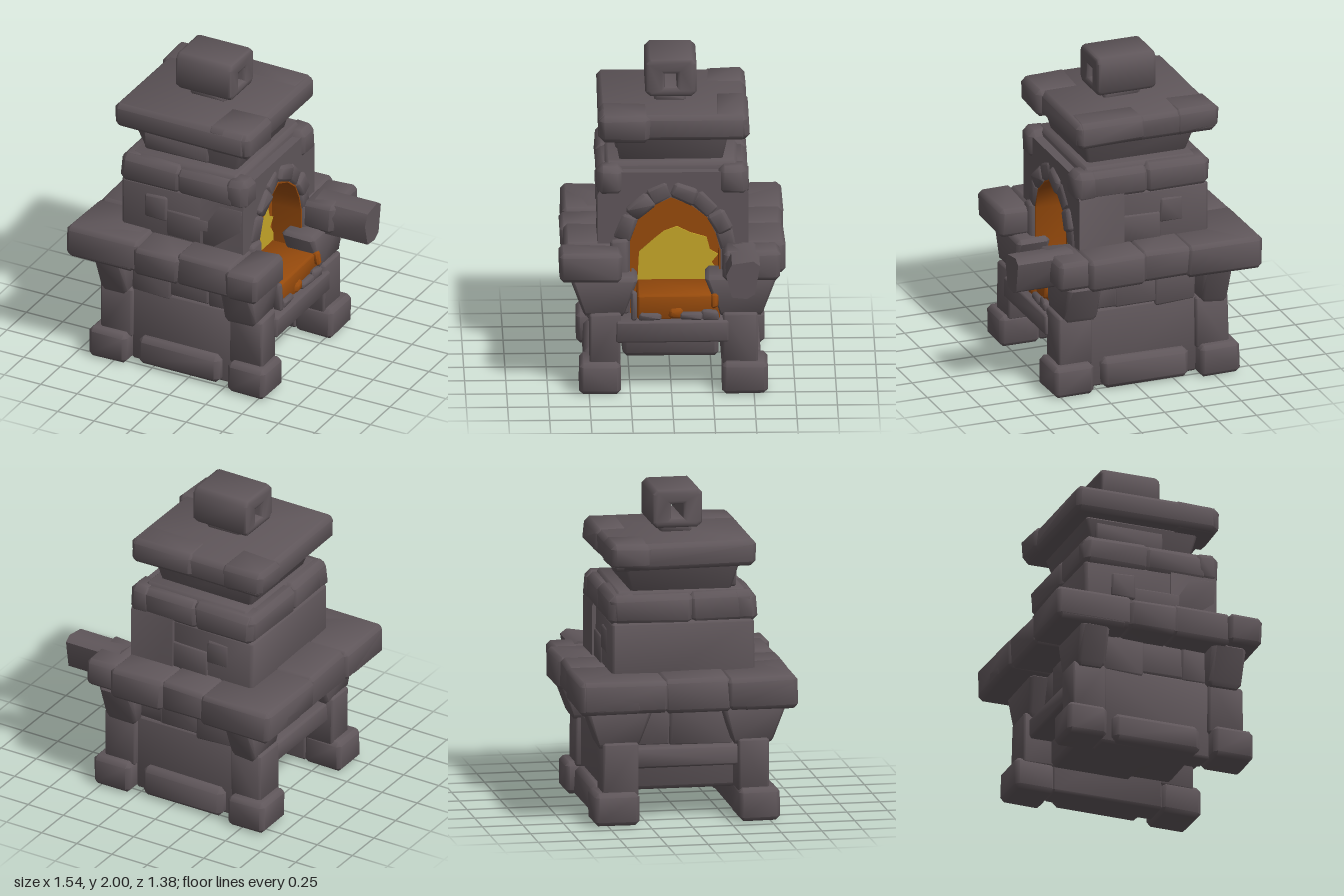
import * as THREE from 'three';
import { ConvexGeometry } from 'three/addons/geometries/ConvexGeometry.js';
import { toCreasedNormals } from 'three/addons/utils/BufferGeometryUtils.js';

const stoneMat = new THREE.MeshStandardMaterial({ color: 0x5f565a });
stoneMat.name = 'stone';
const emberMat = new THREE.MeshStandardMaterial({ color: 0x964a0c });
emberMat.name = 'ember orange';
const flameMat = new THREE.MeshStandardMaterial({ color: 0xc6a628 });
flameMat.name = 'flame yellow';

export function createModel() {
  const root = new THREE.Group();
  root.name = 'stoneFurnace';
  let seed = 11;
  const rand = () => (seed = (seed * 16807) % 2147483647) / 2147483647;

  function add(name, geo, mat = stoneMat) {
    const m = new THREE.Mesh(toCreasedNormals(geo, 0.9), mat);
    m.name = name;
    root.add(m);
    return m;
  }

  // Roughly chiselled block with softened edges; bottom is scaled by taper in x and z
  function stone(name, [x0, x1], [y0, y1], [z0, z1], o = {}) {
    const { c = 0.025, j = 0.013, taper = [1, 1], mat = stoneMat } = o;
    const h = [(x1 - x0) / 2, (y1 - y0) / 2, (z1 - z0) / 2];
    const pts = [];
    for (const sx of [-1, 1]) for (const sy of [-1, 1]) for (const sz of [-1, 1]) {
      const s = [sx, sy, sz];
      const [kx, kz] = sy < 0 ? taper : [1, 1];
      const jit = [0, 0, 0].map(() => rand() * j);
      for (let a = 0; a < 3; a++) {
        const p = s.map((v, i) => v * (h[i] - jit[i] - (i === a ? 0 : Math.min(c, h[i] * 0.45))));
        pts.push(new THREE.Vector3(p[0] * kx, p[1], p[2] * kz));
      }
    }
    const m = add(name, new ConvexGeometry(pts), mat);
    m.position.set((x0 + x1) / 2, (y0 + y1) / 2, (z0 + z1) / 2);
    return m;
  }

  // Outline in (-z, y), pushed along x from x0 to x1
  const outline = p => p.map(([u, y]) => new THREE.Vector2(u, y));
  function extrudeX(name, pts, hole, x0, x1, mat, bevel = 0) {
    const s = new THREE.Shape(outline(pts));
    if (hole) s.holes.push(new THREE.Path(outline(hole)));
    const g = new THREE.ExtrudeGeometry(s, {
      depth: x1 - x0 - 2 * bevel, bevelEnabled: bevel > 0, bevelSize: bevel,
      bevelThickness: bevel, bevelOffset: -bevel, bevelSegments: 2,
    });
    g.translate(0, 0, x0 + bevel).rotateY(Math.PI / 2);
    return add(name, g, mat);
  }

  // Feet, legs and flared corbels at the four corners
  for (const s of [1, -1]) {
    const side = (a, b) => (s > 0 ? [a, b] : [-b - 0.025, -a]);
    for (const [foot, leg, corbel] of [
      [[0.287, 0.55], [0.275, 0.505], [0.25, 0.49]],
      [[-0.665, -0.4], [-0.612, -0.39], [-0.605, -0.4]],
    ]) {
      stone('foot', foot, [0, 0.205], side(0.305, 0.562), { j: 0.006 });
      stone('leg', leg, [0.17, 0.51], side(0.305, 0.503), { c: 0.012, j: 0.008 });
      stone('corbel', corbel, [0.47, 0.74], side(0.2, 0.615), { taper: [0.92, 0.64] });
    }
    // Walls between the legs with a low bar in front
    stone('footBar', [-0.35, 0.225], [0.005, 0.203], side(0.31, 0.53), { c: 0.03 });
    stone('lowerWall', [-0.42, 0.3], [0.01, 0.52], side(0.31, 0.47), { c: 0.015, j: 0.006 });
    stone('lowerFacing', [-0.41, -0.13], [0.48, 0.74], side(0.36, 0.485), { c: 0.015 });
    stone('lowerFacing', [-0.16, 0.13], [0.5, 0.73], side(0.36, 0.475), { c: 0.015 });
    stone('lowerFacing', [0.1, 0.31], [0.5, 0.73], side(0.36, 0.47), { c: 0.015 });
  }

  // Lower body, undercroft and the slabs spanning the legs
  stone('lowerBody', [-0.44, 0.1], [0.17, 0.75], [-0.43, 0.42]);
  stone('undercroft', [0, 0.34], [0.17, 0.4], [-0.3, 0.3]);
  stone('hearthSlab', [0, 0.525], [0.325, 0.465], [-0.35, 0.34], { c: 0.01, j: 0.006 });
  stone('rearSlab', [-0.58, -0.3], [0.33, 0.47], [-0.4, 0.38], { c: 0.012 });
  stone('rearFacing', [-0.52, -0.3], [0.45, 0.74], [-0.1, 0.3], { c: 0.015 });
  stone('rearFacing', [-0.5, -0.3], [0.45, 0.74], [-0.36, -0.08], { c: 0.015 });

  // Projecting ledge made of tightly fitted stones
  const cuts = [-0.772, -0.31, -0.02, 0.33, 0.56];
  for (let i = 0; i < 4; i++) {
    const a = cuts[i], b = cuts[i + 1] + (i < 3 ? 0.04 : 0), d = (i % 2) * 0.012;
    const out = i === 3 ? 0.02 : 0;
    stone('frontLedge', [a, b], [0.708, 0.922 - d], [0.295, 0.657 + d + out]);
    stone('backLedge', [a, b], [0.708 + d, 0.922], [-0.698 + d + out, -0.305]);
  }
  for (const [a, b, x] of [[-0.69, -0.14, -0.772], [-0.18, 0.25, -0.76], [0.21, 0.65, -0.772]])
    stone('sideLedge', [x, -0.3], [0.708, 0.922], [a, b]);

  // Slanted beam end beside the opening
  extrudeX('sideBeam', [[0.36, 0.7], [0.45, 0.69], [0.5, 0.72], [0.53, 0.9], [0.49, 0.93], [0.36, 0.91], [0.325, 0.84]],
    null, 0.4, 0.77, stoneMat);

  // Upper body behind the fire chamber
  stone('upperBody', [-0.507, 0.1], [0.7, 1.24], [-0.455, 0.44], { c: 0.018 });
  stone('bandCore', [-0.46, 0.29], [1.2, 1.41], [-0.42, 0.41]);
  for (const s of [1, -1]) {
    const z = s > 0 ? [0.28, 0.455] : [-0.475, -0.28];
    const t = s > 0 ? [0.36, 0.452] : [-0.467, -0.36];
    stone('bandStone', [-0.512, -0.08], [1.2, 1.402], z, { c: 0.035 });
    stone('bandStone', [-0.13, 0.3], [1.2, 1.395], z, { c: 0.035 });
    stone('bandCorner', [0.2, 0.37], [1.2, 1.4], z, { c: 0.035 });
    stone('wallStone', [-0.34, -0.18], [1.0, 1.17], t, { c: 0.01 });
    stone('wallStone', [-0.2, 0.12], [0.9, 1.09], t, { c: 0.01 });
    stone('wallStone', [0.05, 0.345], [0.9, 1.22], t, { c: 0.01 });
  }
  stone('sideBand', [-0.52, -0.3], [1.2, 1.4], [-0.46, 0.06], { c: 0.035 });
  stone('sideBand', [-0.512, -0.3], [1.2, 1.4], [0.02, 0.44], { c: 0.035 });

  // Arched front wall of the fire chamber
  const arch = [[-0.25, 0.46], [0.3, 0.46], [0.3, 0.86], [0.27, 0.97], [0.22, 1.07],
    [0.12, 1.15], [0, 1.2], [-0.1, 1.15], [-0.2, 1.06], [-0.25, 0.92]];
  const inner = arch.map(([u, y]) => [0.025 + (u - 0.025) * 0.965, 0.8 + (y - 0.8) * 0.975]);
  extrudeX('archWall', [[-0.45, 0.44], [0.47, 0.44], [0.47, 1.22], [0.4, 1.36], [-0.38, 1.36], [-0.445, 1.22]],
    arch, 0.05, 0.345, stoneMat);
  extrudeX('chamberLining', arch, inner, 0.1, 0.35, emberMat);
  extrudeX('chamberBack', arch, null, 0.09, 0.15, emberMat);

  // Stones framing the arch
  for (let i = 2; i < arch.length - 1; i++) {
    const [u0, y0] = arch[i], [u1, y1] = arch[i + 1];
    const len = Math.hypot(u1 - u0, y1 - y0) / 2 + 0.02;
    const m = stone('archStone', [0.25, 0.365 + (i % 2) * 0.012], [-len, len], [-0.06, 0.06], { c: 0.018 });
    const dir = Math.atan2(y1 - y0, u1 - u0), n = dir - Math.PI / 2;
    m.position.y = (y0 + y1) / 2 + Math.sin(n) * 0.055;
    m.position.z = -((u0 + u1) / 2 + Math.cos(n) * 0.055);
    m.rotation.x = dir - Math.PI / 2;
  }
  stone('jamb', [0.2, 0.38], [0.45, 0.94], [0.25, 0.38], { c: 0.015 });
  stone('jamb', [0.2, 0.38], [0.45, 0.9], [-0.42, -0.3], { c: 0.015 });

  // Embers, flame and little stones on the hearth
  stone('emberBed', [0.12, 0.47], [0.45, 0.615], [-0.295, 0.21], { c: 0.012, j: 0.006, mat: emberMat });
  stone('emberChunk', [0.36, 0.49], [0.46, 0.54], [-0.08, 0.02], { c: 0.015, mat: emberMat });
  stone('emberChunk', [0.4, 0.5], [0.53, 0.63], [-0.295, -0.24], { c: 0.012, mat: emberMat });
  extrudeX('flame', [[-0.2, 0.6], [0.29, 0.6], [0.29, 0.66], [0.25, 0.72], [0.29, 0.77], [0.24, 0.8], [0.22, 0.88], [0.12, 0.91],
    [0.04, 0.95], [-0.04, 0.92], [-0.1, 0.87], [-0.19, 0.79]], null, 0.151, 0.16, flameMat);
  for (const [z0, z1, y] of [[0.2, 0.25, 0.65], [0.06, 0.2, 0.51], [-0.2, -0.05, 0.51], [-0.29, -0.18, 0.53]])
    stone('hearthStone', [0.43, 0.505], [0.45, y], [z0, z1], { c: 0.012 });

  // Flared neck and the heavy cap
  stone('neck', [-0.462, 0.272], [1.36, 1.58], [-0.36, 0.35], { taper: [0.88, 0.88], c: 0.018 });
  stone('neckStone', [-0.4, 0.05], [1.4, 1.54], [0.26, 0.345], { c: 0.012 });
  stone('cap', [-0.562, 0.362], [1.553, 1.727], [-0.467, 0.442], { c: 0.028 });
  stone('capStone', [-0.577, -0.28], [1.557, 1.73], [-0.47, -0.2], { c: 0.03 });
  stone('capStone', [0.08, 0.385], [1.55, 1.732], [0.12, 0.437], { c: 0.03 });
  stone('capStone', [-0.1, 0.35], [1.56, 1.732], [-0.48, -0.25], { c: 0.03 });

  // Chimney block with a square flue through it
  stone('chimneyCollar', [-0.215, 0.042], [1.7, 1.78], [-0.1, 0.1], { c: 0.015 });
  extrudeX('chimney', [[-0.12, 1.757], [0.13, 1.757], [0.16, 1.785], [0.16, 1.97], [0.13, 2], [-0.12, 2], [-0.15, 1.97], [-0.15, 1.785]],
    [[-0.03, 1.82], [0.04, 1.82], [0.04, 1.9], [-0.03, 1.9]], -0.285, 0.1, stoneMat, 0.025);

  return root;
}
